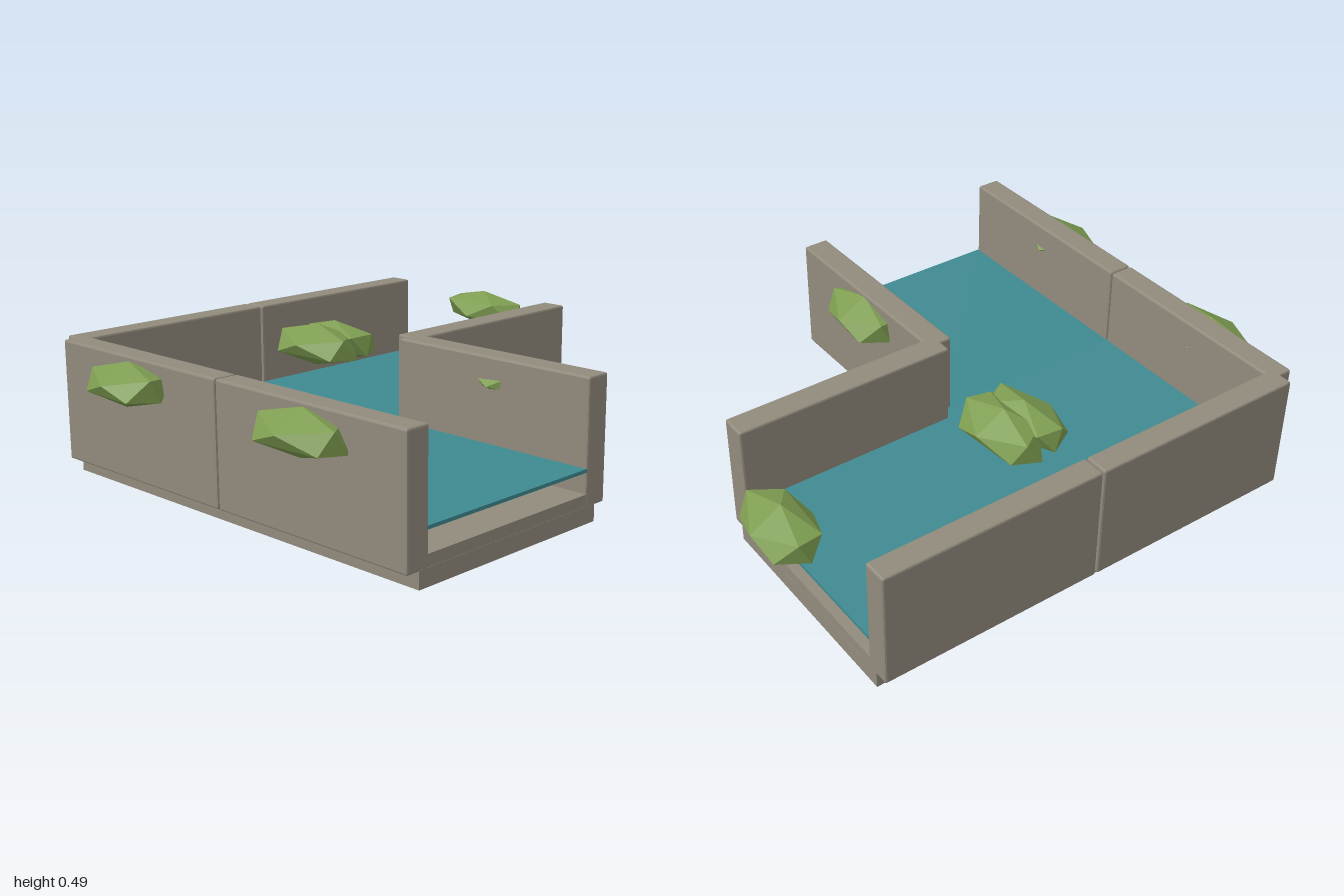
import * as THREE from 'three';
import { RoundedBoxGeometry } from 'three/addons/geometries/RoundedBoxGeometry.js';
import { ConvexGeometry } from 'three/addons/geometries/ConvexGeometry.js';

const material = (color) => new THREE.MeshStandardMaterial({ color, flatShading: true });

export function createModel() {
  const root = new THREE.Group();
  const stone = material(0x928b7d);
  const teal = material(0x3f8a90);
  const green = material(0x7d9c50);
  const dark = material(0x3a3630);

  // Box given by its limits, with an optional small bevel
  function box(parent, name, mat, [x0, x1], [y0, y1], [z0, z1], bevel = 0) {
    const w = x1 - x0, h = y1 - y0, d = z1 - z0;
    const geo = bevel ? new RoundedBoxGeometry(w, h, d, 1, bevel) : new THREE.BoxGeometry(w, h, d);
    const mesh = new THREE.Mesh(geo, mat);
    mesh.name = name;
    mesh.position.set((x0 + x1) / 2, (y0 + y1) / 2, (z0 + z1) / 2);
    parent.add(mesh);
  }

  // Faceted bush: apexes plus a ring of ten points alternating above and below the middle
  const ring = [
    [0.113, 0.01, 0], [0.075, -0.036, 0.14], [0.03, 0.035, 0.165], [-0.022, -0.04, 0.182],
    [-0.07, 0.035, 0.1], [-0.11, -0.015, 0], [-0.055, 0.035, -0.145], [0, -0.036, -0.17],
    [0.035, 0.04, -0.16], [0.1, -0.03, -0.115],
  ];
  function bush(parent, x, z, sx, sz) {
    const points = [[0, 0.075, 0], [0.015, -0.077, 0], ...ring]
      .map(([px, py, pz]) => new THREE.Vector3(px * sx, py, pz * sz));
    const mesh = new THREE.Mesh(new ConvexGeometry(points), green);
    mesh.name = 'bush';
    mesh.position.set(x, 0.4, z);
    parent.add(mesh);
  }

  // One channel module: stepped base, floor, water sheet and its walls
  function channel(name, baseX, baseZ, innerX, innerZ, walls) {
    const group = new THREE.Group();
    group.name = name;
    box(group, 'base', stone, baseX, [0, 0.06], baseZ);
    box(group, 'floor', stone, innerX, [0.055, 0.1], innerZ);
    box(group, 'water', teal, innerX, [0.173, 0.185], innerZ);
    for (const [x, z] of walls) box(group, 'wall', stone, x, [0.055, 0.485], z, 0.007);
    root.add(group);
    return group;
  }

  // Front arm, open toward +z
  const front = channel('frontChannel', [-0.82, 0], [0.025, 0.85], [-0.785, -0.04], [0.025, 0.849], [
    [[-0.87, -0.78], [0.025, 0.85]],
    [[-0.045, 0.05], [0.025, 0.85]],
  ]);
  bush(front, -0.88, 0.44, -1, 1);
  bush(front, 0.045, 0.44, 1, 1);

  // Corner, walled at the back and on the outer side
  const corner = channel('cornerChannel', [-0.82, 0], [-0.8, 0.025], [-0.785, 0], [-0.765, 0.025], [
    [[-0.87, -0.78], [-0.8, 0.02]],
    [[-0.82, -0.003], [-0.85, -0.76]],
  ]);
  bush(corner, -0.887, -0.4, -1, -1);
  bush(corner, -0.037, -0.4, -1, 1);

  // Side arm, open toward +x
  const side = channel('sideChannel', [0, 0.825], [-0.8, 0.025], [0, 0.824], [-0.765, -0.02], [
    [[0.003, 0.825], [-0.85, -0.76]],
    [[0, 0.825], [-0.025, 0.07]],
  ]);
  bush(side, 0.047, -0.4, 1, -1);
  bush(side, 0.887, -0.39, 1, 1);

  // Small drain stubs on the floors
  for (const x of [-0.765, -0.055]) box(front, 'drain', dark, [x - 0.014, x + 0.014], [0.1, 0.112], [0.42, 0.45]);
  box(side, 'drain', dark, [0.7, 0.73], [0.1, 0.112], [-0.4, -0.37]);

  return root;
}
